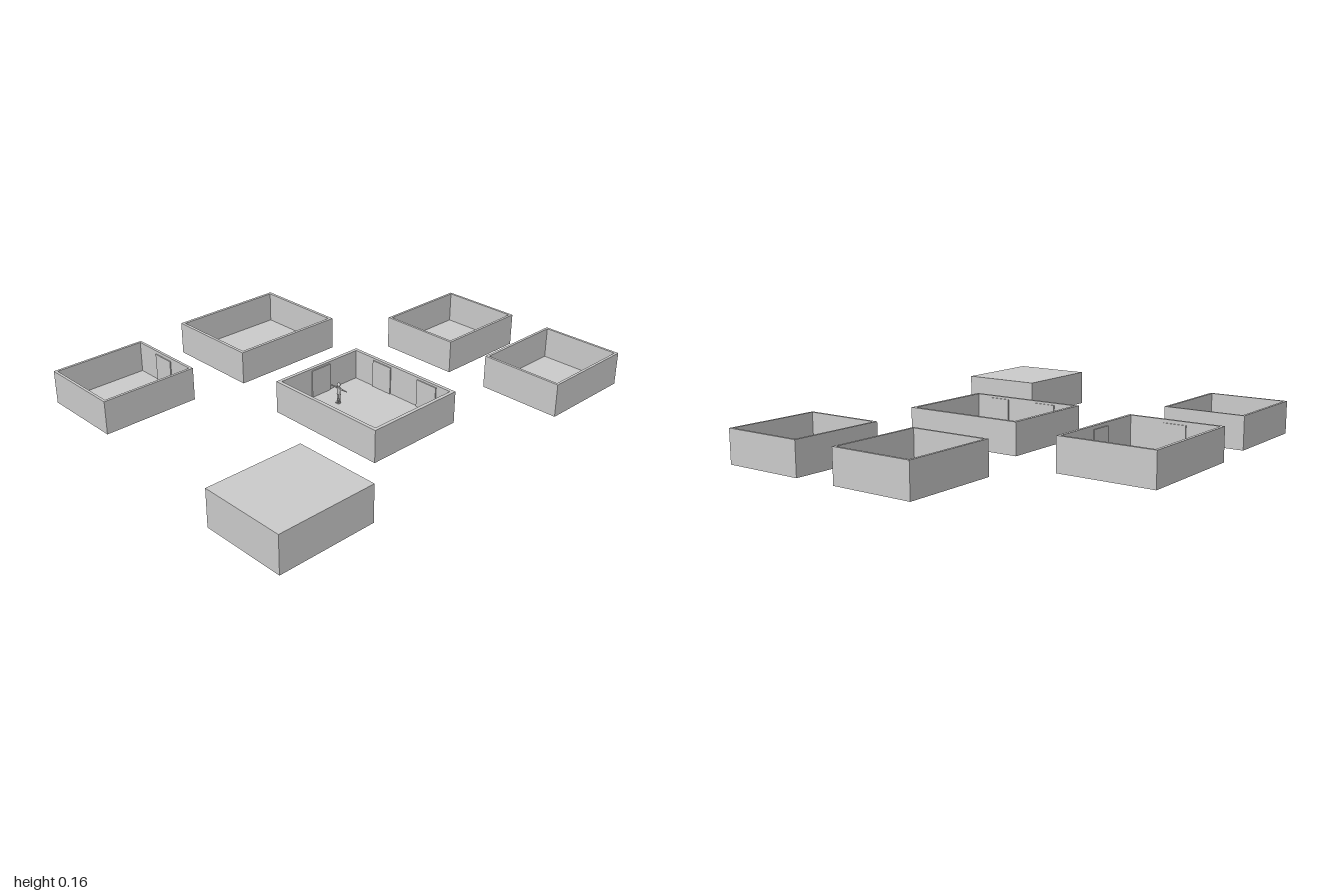
import * as THREE from 'three';

const material = new THREE.MeshStandardMaterial({ color: 0xcccccc, flatShading: true });
const smooth = new THREE.MeshStandardMaterial({ color: 0xcccccc });
const FLOOR = 0.01;

function add(parent, name, geometry, x, y, z, mat = material) {
  const mesh = new THREE.Mesh(geometry, mat);
  mesh.name = name;
  mesh.position.set(x, y, z);
  parent.add(mesh);
  return mesh;
}

// Rectangle outline, used for the wall ring and its opening
function rectangle(w, d, Type) {
  const p = new Type();
  p.moveTo(-w / 2, -d / 2);
  p.lineTo(w / 2, -d / 2);
  p.lineTo(w / 2, d / 2);
  p.lineTo(-w / 2, d / 2);
  p.closePath();
  return p;
}

// Open-topped room: floor slab, wall ring and thin doors on the inner faces
function room({ name, x, z, w, d, h, t, doors = [] }) {
  const g = new THREE.Group();
  g.name = name;
  g.position.set(x, 0, z);
  add(g, 'floor', new THREE.BoxGeometry(w - 2 * t, FLOOR, d - 2 * t), 0, FLOOR / 2, 0);
  const ring = rectangle(w, d, THREE.Shape);
  ring.holes.push(rectangle(w - 2 * t, d - 2 * t, THREE.Path));
  const walls = new THREE.ExtrudeGeometry(ring, { depth: h, bevelEnabled: false });
  add(g, 'walls', walls.rotateX(-Math.PI / 2), 0, 0, 0);
  const doorH = 0.125, thick = 0.005;
  for (const [side, at] of doors) {
    const alongX = side === 'front' || side === 'back';
    const sign = side === 'front' || side === 'left' ? 1 : -1;
    const off = sign * ((alongX ? d : w) / 2 - t - thick / 2);
    const geo = new THREE.BoxGeometry(alongX ? 0.105 : thick, doorH, alongX ? thick : 0.105);
    add(g, 'door', geo, alongX ? at - x : off, FLOOR + doorH / 2, alongX ? off : at - z);
  }
  return g;
}

// Small standing person with arms held out sideways
function figure() {
  const g = new THREE.Group();
  g.name = 'figure';
  add(g, 'head', new THREE.SphereGeometry(0.0075, 12, 8), 0, 0.087, 0, smooth).scale.y = 1.2;
  add(g, 'neck', new THREE.CylinderGeometry(0.003, 0.003, 0.01, 8), 0, 0.077, 0, smooth);
  add(g, 'torso', new THREE.CylinderGeometry(0.011, 0.008, 0.034, 10), 0, 0.058, 0, smooth).scale.z = 0.6;
  for (const s of [-1, 1]) {
    const arm = add(g, 'arm', new THREE.CylinderGeometry(0.0025, 0.004, 0.034, 8), s * 0.027, 0.07, 0, smooth);
    arm.rotation.z = -s * Math.PI / 2;
    add(g, 'hand', new THREE.SphereGeometry(0.003, 8, 6), s * 0.046, 0.07, 0, smooth).scale.x = 1.6;
    add(g, 'leg', new THREE.CylinderGeometry(0.0048, 0.003, 0.042, 8), s * 0.0055, 0.023, 0, smooth);
    add(g, 'foot', new THREE.BoxGeometry(0.006, 0.004, 0.014), s * 0.0055, 0.002, 0.003);
  }
  return g;
}

export function createModel() {
  const model = new THREE.Group();
  model.name = 'roomSet';
  const small = { w: 0.383, d: 0.445, h: 0.15, t: 0.012 };
  const rooms = [
    { ...small, name: 'backRoom', x: 0.006, z: -0.7775 },
    { ...small, name: 'backLeftRoom', x: 0.588, z: -0.7775 },
    { ...small, name: 'frontRightRoom', x: -0.58, z: 0.663, doors: [['back', -0.585]] },
    {
      name: 'rightRoom', x: -0.582, z: -0.082, w: 0.445, d: 0.547, h: 0.15, t: 0.014,
      doors: [['left', -0.06], ['front', -0.585]],
    },
    {
      name: 'centreRoom', x: 0.232, z: 0.024, w: 0.576, d: 0.47, h: 0.145, t: 0.016,
      doors: [['back', 0.12], ['back', 0.378], ['front', 0.12], ['front', 0.378], ['right', 0.02]],
    },
  ];
  rooms.forEach((r) => model.add(room(r)));

  // Closed room, covered by its ceiling
  add(model, 'closedRoom', new THREE.BoxGeometry(0.385, 0.164, 0.446), 0.611, 0.082, 0.777);

  const person = figure();
  person.position.set(0.078, FLOOR, 0.026);
  model.add(person);
  return model;
}
